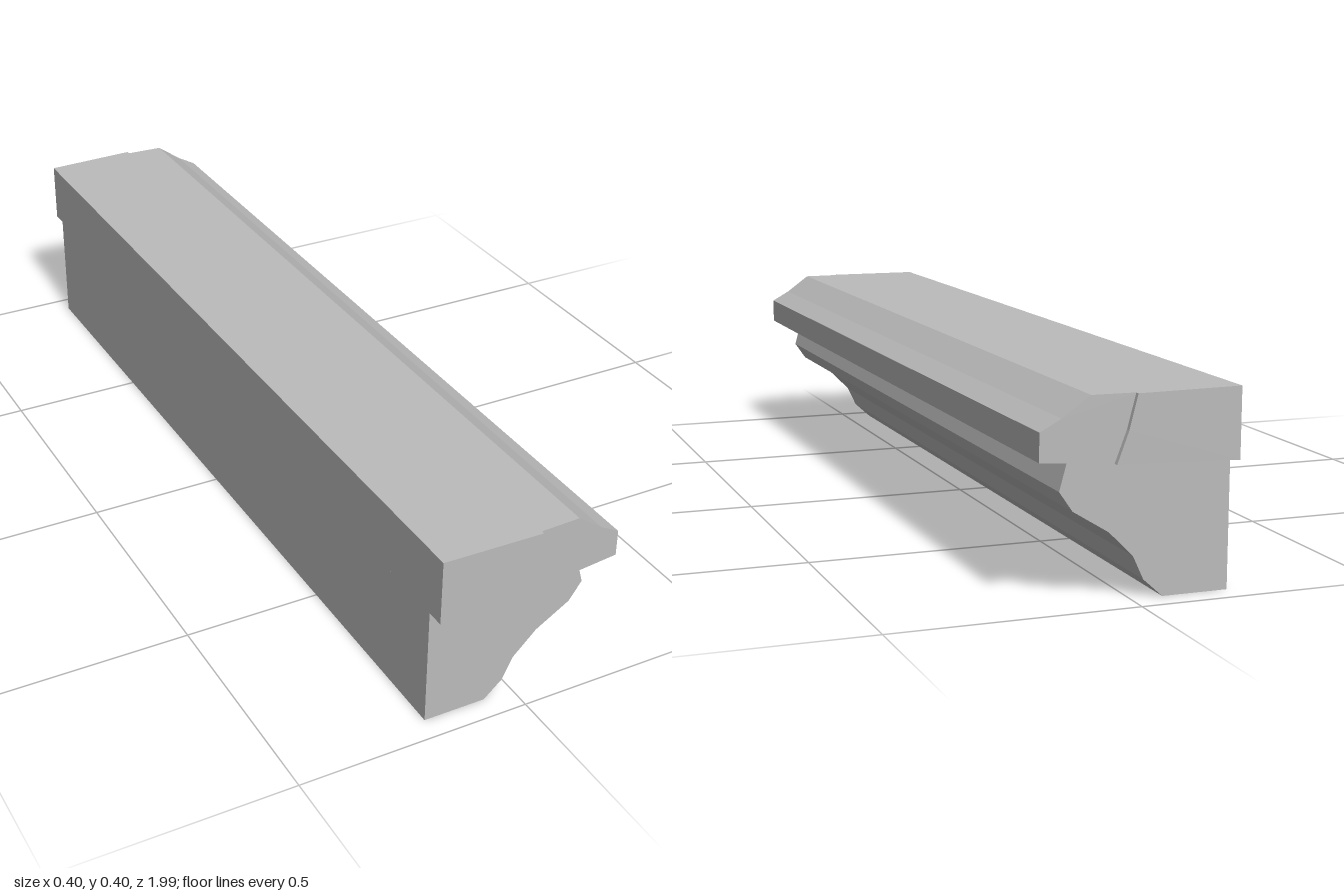
import * as THREE from 'three';

// Extrude a profile along z between two end positions that may vary with x
function beam(name, points, backZ, frontZ, material) {
  const shape = new THREE.Shape(points.map(([x, y]) => new THREE.Vector2(x, y)));
  const geometry = new THREE.ExtrudeGeometry(shape, { depth: 1, bevelEnabled: false });
  const p = geometry.attributes.position;
  for (let i = 0; i < p.count; i++) {
    p.setZ(i, p.getZ(i) > 0.5 ? frontZ(p.getX(i)) : backZ(p.getX(i)));
  }
  geometry.computeVertexNormals();
  const mesh = new THREE.Mesh(geometry, material);
  mesh.name = name;
  return mesh;
}

export function createModel() {
  const model = new THREE.Group();
  model.name = 'corniceBeam';
  const stone = new THREE.MeshStandardMaterial({ color: 0xbbbbbb });
  stone.name = 'grey stone';

  // Split line between the two halves of the cap
  const seam = [[0.055, 0.271], [0.032, 0.333], [0.015, 0.4]];

  // Moulded lower body
  const body = [
    [-0.2, 0], [-0.065, 0], [-0.025, 0.036], [-0.003, 0.083], [0.047, 0.133],
    [0.12, 0.178], [0.147, 0.217], [0.131, 0.276], [0.055, 0.271], [-0.2, 0.26],
  ];
  model.add(beam('mouldedBody', body, () => -0.95, () => 0.95, stone));

  // Rear cap block, its ends flaring slightly towards the seam
  const rear = [[-0.2, 0.26], ...seam, [-0.2, 0.4]];
  model.add(beam('rearCap', rear,
    (x) => -0.997 - 0.012 * Math.min(x + 0.05, 0.065) / 0.25,
    (x) => 0.993 + 0.03 * Math.min(x + 0.015, 0.07) * 0.8, stone));

  // Sloped front cap, set back a little at each end
  const front = [seam[0], [0.2, 0.281], [0.2, 0.337], [0.158, 0.36], [0.102, 0.4],
    seam[2], seam[1]];
  model.add(beam('slopedCap', front,
    (x) => -0.991 + 0.04 * x,
    (x) => 0.987 - 0.04 * x, stone));

  return model;
}
